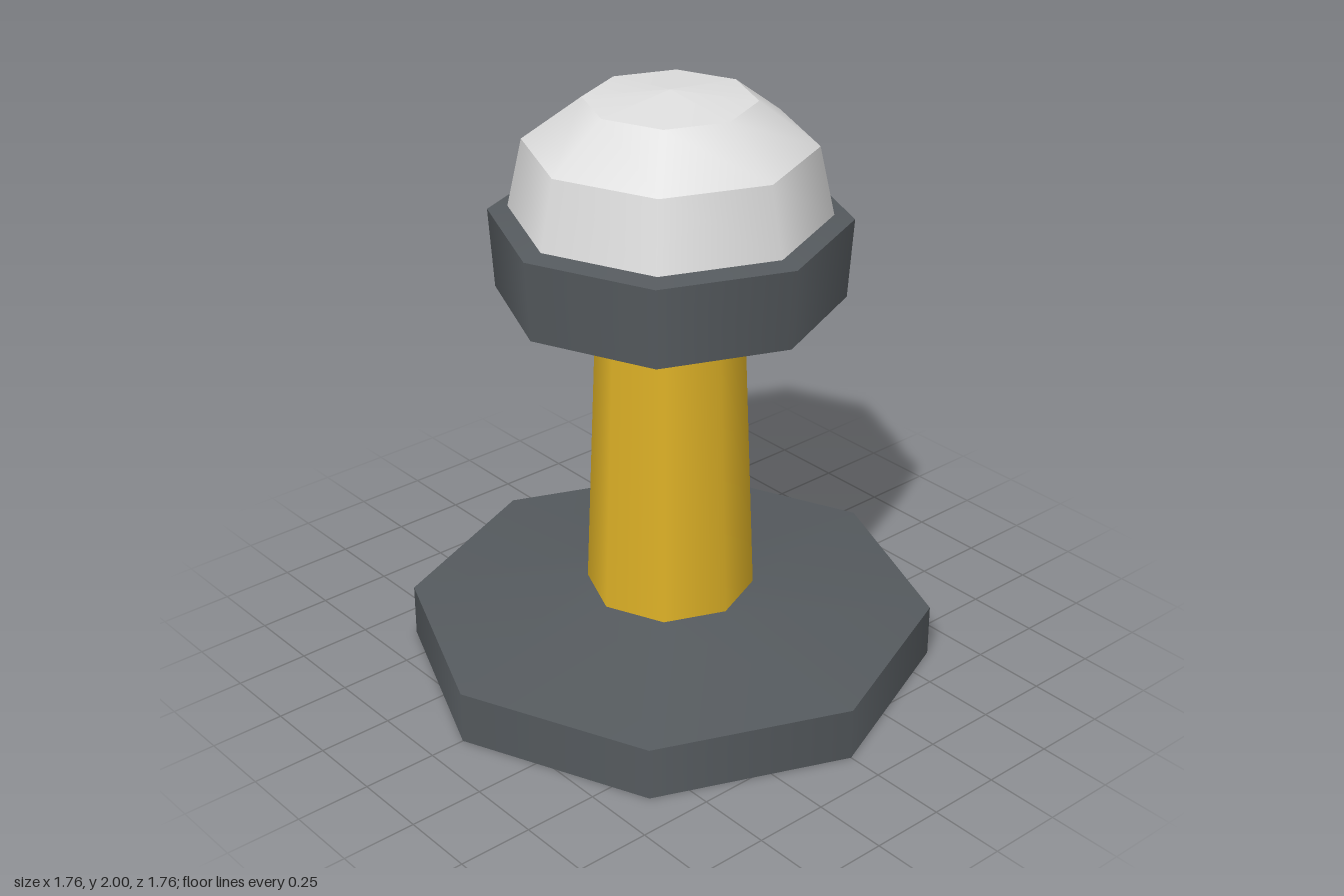
import * as THREE from 'three';

const SIDES = 8;

function material(name, color) {
  const m = new THREE.MeshStandardMaterial({ color, side: THREE.DoubleSide });
  m.name = name;
  return m;
}

// One eight-sided part from a bottom-to-top profile of [radius, height];
// each band is its own lathe, so it is smooth around but creased between bands.
function turned(name, mat, profile) {
  const part = new THREE.Group();
  part.name = name;
  for (let i = 0; i < profile.length - 1; i++) {
    const points = [profile[i], profile[i + 1]].map(([r, y]) => new THREE.Vector2(r, y));
    const band = new THREE.Mesh(new THREE.LatheGeometry(points, SIDES), mat);
    band.name = `${name}Band${i + 1}`;
    part.add(band);
  }
  return part;
}

export function createModel() {
  const darkGrey = material('dark grey', 0x555a5e);
  const yellow = material('yellow', 0xdcb026);
  const paleGrey = material('pale grey', 0xdedede);

  const model = new THREE.Group();
  model.name = 'pedestalLamp';
  model.add(
    // Hollow foot, open underneath and into the post
    turned('base', darkGrey, [[0.88, 0], [0.88, 0.18], [0.28, 0.26]]),
    // Hollow tapered post
    turned('post', yellow, [[0.28, 0.26], [0.24, 1.245]]),
    // Flared collar with a narrow ledge around the dome
    turned('collar', darkGrey, [[0.24, 1.245], [0.56, 1.325], [0.577, 1.59], [0.512, 1.603]]),
    // Faceted dome
    turned('dome', paleGrey, [[0.512, 1.603], [0.463, 1.828], [0.272, 1.97], [0, 2]])
  );
  return model;
}
